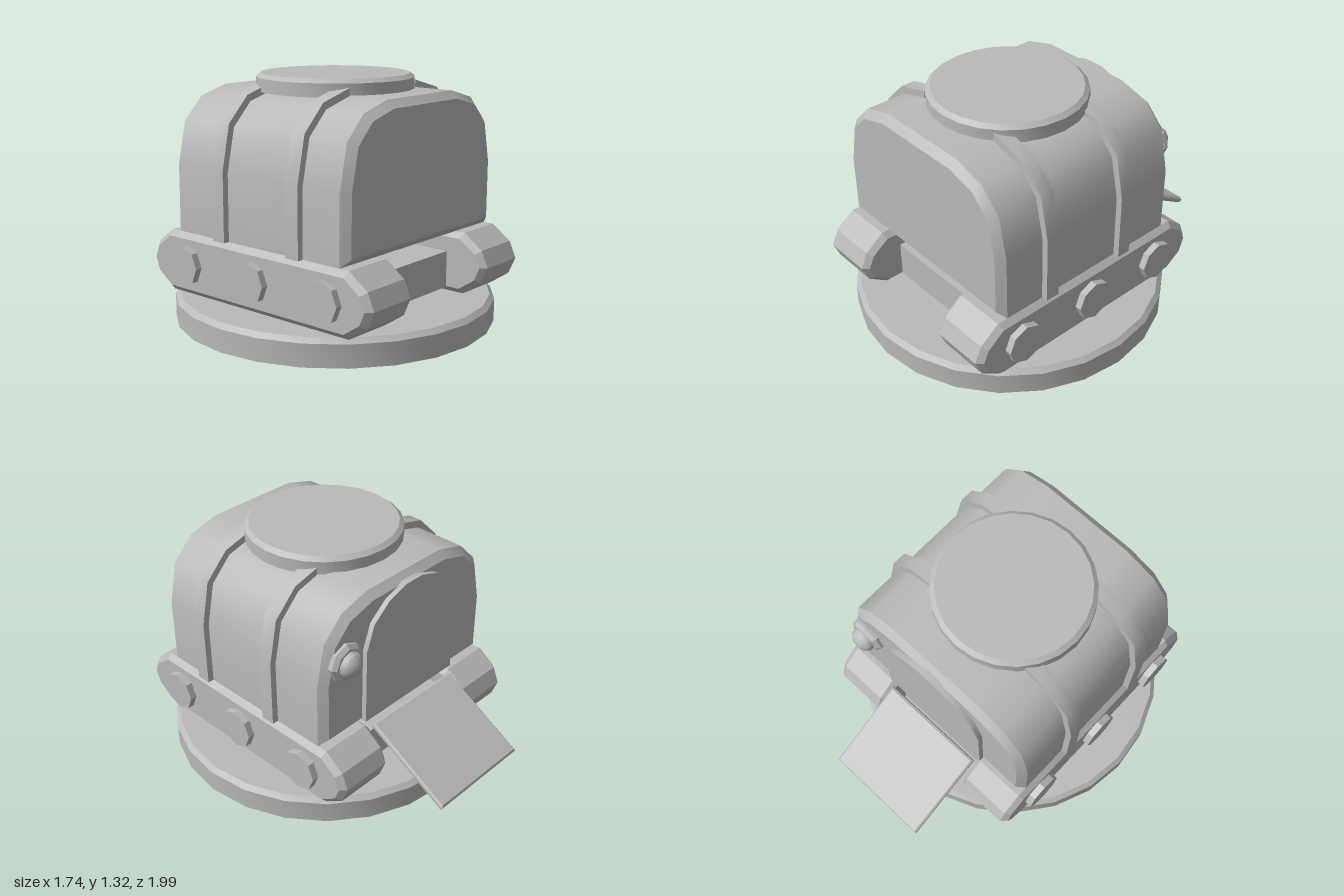
import * as THREE from 'three';
import { toCreasedNormals } from 'three/addons/utils/BufferGeometryUtils.js';

export function createModel() {
  const model = new THREE.Group();
  const grey = new THREE.MeshStandardMaterial({ color: 0xbababa, side: THREE.DoubleSide });
  grey.name = 'plain grey';

  const add = (name, geo, crease = 0.3) => {
    const mesh = new THREE.Mesh(toCreasedNormals(geo, crease), grey);
    mesh.name = name;
    model.add(mesh);
    return mesh;
  };
  // Outline extruded from z0 to z1 with chamfered ends
  const prism = (pts, z0, z1, bevel = 0) => {
    const shape = new THREE.Shape(pts.map(p => new THREE.Vector2(...p)));
    const geo = new THREE.ExtrudeGeometry(shape, {
      depth: z1 - z0 - 2 * bevel, bevelEnabled: bevel > 0, bevelSegments: 1,
      bevelSize: bevel, bevelThickness: bevel, bevelOffset: -bevel,
    });
    return geo.translate(0, 0, z0 + bevel);
  };
  // Closed outline, symmetric about x = 0, from its right half listed bottom to top
  const mirror = half => [...half, ...half.map(([x, y]) => [-x, y]).reverse()];
  const lathe = (pts, sides) =>
    new THREE.LatheGeometry(pts.map(p => new THREE.Vector2(...p)), sides);
  const CZ = 0.125;

  // Round base, hollow underneath
  add('base', lathe([[0.87, 0], [0.87, 0.12], [0.845, 0.145], [0, 0.145]], 24).translate(0, 0, CZ));
  add('baseBoss', lathe([[0.09, 0.144], [0.05, 0.15], [0, 0.152]], 12).translate(0, 0, CZ));

  // Raised cross and discs on the underside of the base
  add('underHub', new THREE.CylinderGeometry(0.15, 0.15, 0.04, 12).translate(0, 0.122, CZ));
  for (let i = 0; i < 4; i++) {
    const a = Math.PI / 4 + i * Math.PI / 2;
    add('underDisc', new THREE.CylinderGeometry(0.13, 0.13, 0.04, 12)
      .translate(0.36, 0.122, 0).rotateY(a).translate(0, 0, CZ));
    add('underArm', new THREE.BoxGeometry(0.25, 0.05, 0.07)
      .translate(0.21, 0.118, 0).rotateY(a).translate(0, 0, CZ));
  }

  // Belly between the tracks
  add('belly', new THREE.BoxGeometry(0.66, 0.2, 1.1).translate(0, 0.27, 0.1));

  // Tracks with three wheel hubs each
  const track = [
    [-0.74, 0.145], [0.49, 0.145], [0.6, 0.22], [0.635, 0.312], [0.6, 0.4],
    [0.49, 0.48], [-0.74, 0.48], [-0.85, 0.4], [-0.89, 0.312], [-0.85, 0.22],
  ];
  for (const s of [-1, 1]) {
    add('track', prism(track, -0.17, 0.17, 0.03).rotateY(Math.PI / 2).translate(s * 0.48, 0, 0));
    for (const z of [0.61, 0.13, -0.35]) {
      add('wheelHub', new THREE.CylinderGeometry(0.11, 0.11, 0.08, 8)
        .rotateZ(Math.PI / 2).translate(s * 0.648, 0.312, z));
    }
  }

  // Hull
  const hull = mirror([[0.62, 0.48], [0.62, 0.84], [0.57, 1.07], [0.45, 1.19], [0.27, 1.24]]);
  add('hull', prism(hull, -0.47, 0.72, 0.04), 0.7);

  // Ribs wrapped over each side of the hull
  const rib = [
    [0.655, 0.48], [0.655, 0.85], [0.605, 1.09], [0.47, 1.225], [0.27, 1.28],
    [0.27, 1.22], [0.43, 1.17], [0.55, 1.06], [0.6, 0.84], [0.6, 0.48],
  ];
  for (const s of [-1, 1]) {
    const pts = rib.map(([x, y]) => [s * x, y]);
    for (const z of [-0.14, 0.37]) add('rib', prism(pts, z, z + 0.08), 0.7);
  }

  // Roof hatch
  add('hatch', lathe([[0, 1.23], [0.42, 1.23], [0.42, 1.3], [0.395, 1.32], [0, 1.32]], 24)
    .translate(0, 0, CZ));

  // Rear door panel with arched top
  const door = mirror([[0.34, 0.51], [0.34, 0.94], [0.29, 1.08], [0.18, 1.17], [0.06, 1.21]]);
  add('rearDoor', prism(door, -0.498, -0.46), 0.7);

  // Lowered rear ramp
  add('ramp', prism([[-0.31, -0.275], [0.31, -0.275], [0.31, 0.275], [-0.31, 0.275]],
    -0.0175, 0.0175, 0.01).rotateX(-Math.PI / 2))
    .position.set(0, 0.342, -0.752);
  model.getObjectByName('ramp').rotation.x = -Math.PI / 6;

  // Rear lamp
  add('lampBase', lathe([[0, 0], [0.105, 0], [0.105, 0.025], [0.085, 0.045], [0, 0.045]], 8)
    .rotateX(-Math.PI / 2).translate(0.47, 0.945, -0.46));
  add('lampDome', lathe([[0.07, 0], [0.065, 0.03], [0.04, 0.053], [0, 0.062]], 10)
    .rotateX(-Math.PI / 2).translate(0.47, 0.945, -0.503), 0.7);

  return model;
}
